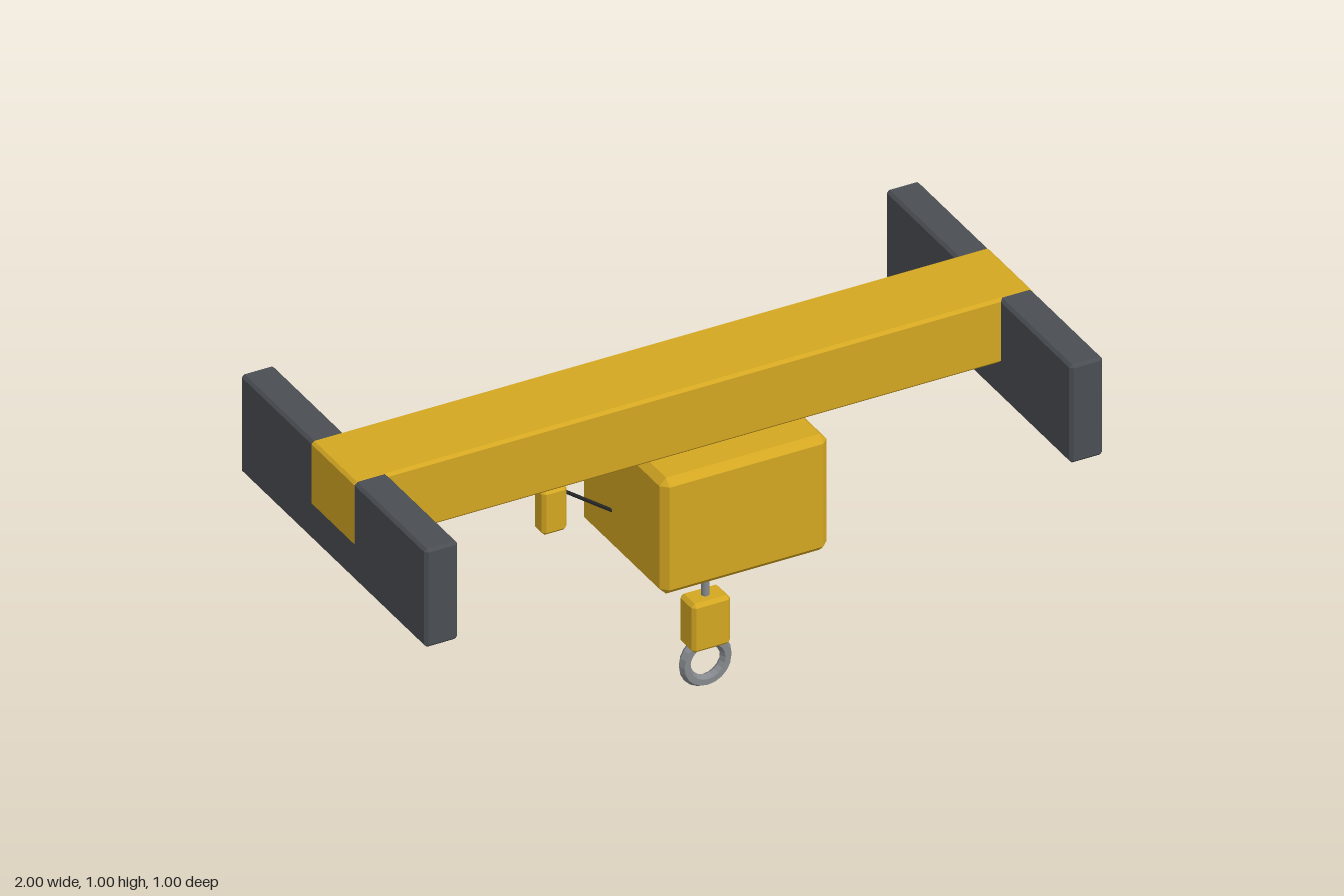
import * as THREE from 'three';
import { ConvexGeometry } from 'three/addons/geometries/ConvexGeometry.js';

const material = (name, color) => {
  const m = new THREE.MeshStandardMaterial({ color });
  m.name = name;
  return m;
};

// Box with every edge cut by a chamfer c
function chamferBox(w, h, d, c) {
  const half = [w / 2, h / 2, d / 2];
  const points = [];
  for (const sx of [-1, 1]) for (const sy of [-1, 1]) for (const sz of [-1, 1]) {
    for (let axis = 0; axis < 3; axis++) {
      const p = [sx, sy, sz].map((s, i) => s * (half[i] - (i === axis ? 0 : c)));
      points.push(new THREE.Vector3(...p));
    }
  }
  return new ConvexGeometry(points);
}

export function createModel() {
  const yellow = material('safety yellow', 0xd4a722);
  const charcoal = material('charcoal', 0x4a4e53);
  const steel = material('steel grey', 0x85898d);
  const black = material('cable black', 0x222426);

  const group = new THREE.Group();
  group.name = 'overheadCrane';
  const add = (name, geometry, mat, x, y, z) => {
    const mesh = new THREE.Mesh(geometry, mat);
    mesh.name = name;
    mesh.position.set(x, y, z);
    group.add(mesh);
    return mesh;
  };
  // Straight rod between two points
  const rod = (name, a, b, radius, sides, mat) => {
    const dir = b.clone().sub(a);
    const mid = a.clone().add(b).multiplyScalar(0.5);
    const mesh = add(name, new THREE.CylinderGeometry(radius, radius, dir.length(), sides), mat, mid.x, mid.y, mid.z);
    mesh.quaternion.setFromUnitVectors(new THREE.Vector3(0, 1, 0), dir.normalize());
  };

  // Bridge beam, its ends showing through the end trucks
  add('bridgeBeam', chamferBox(2.002, 0.195, 0.245, 0.008), yellow, 0, 0.9035, 0);
  for (const side of [-1, 1]) {
    add(side > 0 ? 'leftEndTruck' : 'rightEndTruck', chamferBox(0.097, 0.298, 1, 0.008), charcoal, side * 0.9515, 0.851, 0);
  }

  // Hoist under the beam
  add('hoistBody', chamferBox(0.493, 0.352, 0.446, 0.02), yellow, 0.098, 0.63, 0);
  rod('hoistRope', new THREE.Vector3(0.098, 0.25, 0), new THREE.Vector3(0.098, 0.5, 0), 0.011, 12, steel);
  add('hookBlock', chamferBox(0.114, 0.148, 0.078, 0.01), yellow, 0.098, 0.202, 0);
  const ring = new THREE.TorusGeometry(0.0605, 0.017, 6, 20).toNonIndexed();
  ring.computeVertexNormals();
  add('hookRing', ring, steel, 0.098, 0.078, 0);

  // Pendant control and its cord
  add('pendantControl', chamferBox(0.074, 0.136, 0.055, 0.01), yellow, -0.302, 0.604, -0.103);
  add('pendantButton', new THREE.BoxGeometry(0.048, 0.022, 0.008), yellow, -0.302, 0.63, -0.132);
  rod('pendantCord', new THREE.Vector3(-0.3, 0.668, -0.1), new THREE.Vector3(0.05, 0.45, 0), 0.005, 8, black);

  return group;
}
